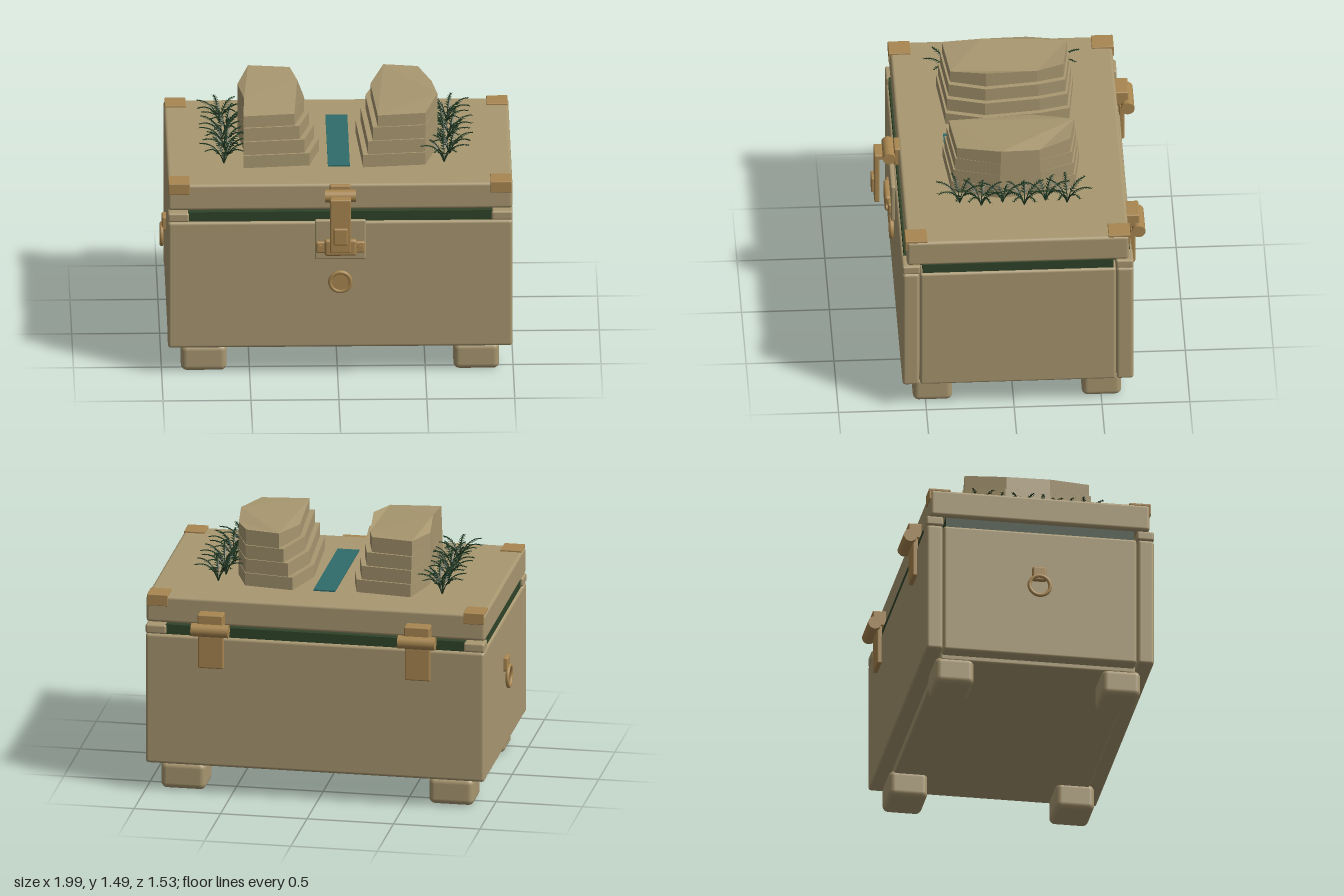
import * as THREE from 'three';
import { mergeGeometries } from 'three/addons/utils/BufferGeometryUtils.js';
import { RoundedBoxGeometry } from 'three/addons/geometries/RoundedBoxGeometry.js';

const CX = 0.015; // middle of the chest in x

export function createModel() {
  const model = new THREE.Group();
  model.name = 'chest';
  const mat = (name, color, side = THREE.FrontSide) => {
    const m = new THREE.MeshStandardMaterial({ color, side });
    m.name = name;
    return m;
  };
  const tan = mat('tan', 0xa89770);
  const brass = mat('brass', 0xa88650);
  const green = mat('sealGreen', 0x2f4429);
  const teal = mat('waterTeal', 0x2f6c6c);
  const leaf = mat('fernGreen', 0x1f3822, THREE.DoubleSide);

  const add = (name, geometry, material, parent = model) => {
    const mesh = new THREE.Mesh(geometry, material);
    mesh.name = name;
    parent.add(mesh);
    return mesh;
  };
  // box given by its extents, with optional rounded edges
  const box = (name, material, [x0, x1], [y0, y1], [z0, z1], r = 0, parent = model) => {
    const s = [x1 - x0, y1 - y0, z1 - z0];
    const g = r ? new RoundedBoxGeometry(...s, 3, r) : new THREE.BoxGeometry(...s);
    g.translate((x0 + x1) / 2, (y0 + y1) / 2, (z0 + z1) / 2);
    return add(name, g, material, parent);
  };
  // cylinder lying along x or z
  const rod = (name, material, axis, r, length, x, y, z, parent = model) => {
    const g = new THREE.CylinderGeometry(r, r, length, 28);
    if (axis === 'x') g.rotateZ(Math.PI / 2);
    else g.rotateX(Math.PI / 2);
    g.translate(x, y, z);
    return add(name, g, material, parent);
  };

  // body
  const wide = [-0.965, 0.995], wall = [0.17, 0.945];
  box('frontPanel', tan, wide, wall, [0.54, 0.635], 0.018);
  box('backPanel', tan, wide, wall, [-0.68, -0.583], 0.018);
  box('rightPanel', tan, [-0.963, -0.86], wall, [-0.58, 0.535], 0.016);
  box('leftPanel', tan, [0.89, 0.993], wall, [-0.58, 0.535], 0.016);
  box('basePlate', tan, [-0.885, 0.915], [0.14, 0.19], [-0.585, 0.54], 0.012);
  for (const x of [[-0.89, -0.63], [0.66, 0.92]])
    for (const z of [[0.347, 0.572], [-0.615, -0.39]])
      box('foot', tan, x, [0, 0.16], z, 0.035);

  // seal and the blocks at its corners
  box('sealLong', green, [-0.85, 0.88], [0.93, 1.002], [-0.665, 0.62]);
  box('sealWide', green, [-0.95, 0.98], [0.93, 1.0], [-0.565, 0.52]);
  for (const x of [[-0.965, -0.845], [0.875, 0.995]])
    for (const z of [[0.535, 0.635], [-0.68, -0.58]])
      box('cornerBlock', tan, x, [0.945, 1.0], z, 0.012);

  // lid with folded corner plates
  box('lid', tan, wide, [1.007, 1.165], [-0.655, 0.61], 0.018);
  for (const x of [[-0.96, -0.84], [0.87, 0.99]])
    for (const s of [1, -1]) {
      const zEdge = s > 0 ? 0.618 : -0.663;
      const span = (d) => [Math.min(zEdge, zEdge - s * d), Math.max(zEdge, zEdge - s * d)];
      box('cornerPlateTop', brass, x, [1.16, 1.175], span(0.125), 0.004);
      box('cornerPlateFlap', brass, x, [1.108, 1.175], span(0.013), 0.004);
    }

  // latch
  const latch = new THREE.Group();
  latch.name = 'latch';
  model.add(latch);
  box('latchPlate', tan, [-0.13, 0.16], [0.72, 0.962], [0.63, 0.658], 0.01, latch);
  box('latchMount', brass, [-0.045, 0.075], [1.05, 1.165], [0.6, 0.635], 0.008, latch);
  rod('latchBarrel', brass, 'x', 0.036, 0.175, CX, 1.115, 0.665, latch);
  box('latchArm', brass, [-0.045, 0.075], [1.092, 1.122], [0.67, 0.748], 0.008, latch);
  box('latchStrap', brass, [-0.045, 0.075], [0.795, 1.115], [0.718, 0.748], 0.008, latch);
  box('latchTab', brass, [-0.025, 0.055], [0.85, 0.95], [0.74, 0.765], 0.008, latch);
  box('catchBlock', brass, [-0.075, 0.107], [0.752, 0.852], [0.655, 0.69], 0.015, latch);
  box('catchBar', brass, [-0.125, 0.155], [0.765, 0.835], [0.65, 0.675], 0.012, latch);
  for (const x of [-0.1, 0.13])
    rod('catchScrew', brass, 'z', 0.017, 0.02, x, 0.8, 0.674, latch);

  // round front boss
  rod('bossDisc', brass, 'z', 0.058, 0.026, CX, 0.58, 0.643);
  add('bossRim', new THREE.TorusGeometry(0.058, 0.012, 10, 36).translate(CX, 0.58, 0.65), brass);

  // hanging ring on the right side
  box('ringMount', brass, [-0.988, -0.955], [0.635, 0.72], [-0.07, 0.01], 0.01);
  const ring = add('ring', new THREE.TorusGeometry(0.06, 0.011, 10, 36), brass);
  ring.rotation.y = Math.PI / 2;
  ring.position.set(-0.989, 0.6, -0.03);

  // back hinges
  for (const x of [-0.5825, 0.6125]) {
    const leafX = [x - 0.073, x + 0.073];
    box('hingeUpperLeaf', brass, leafX, [1.0, 1.092], [-0.73, -0.645], 0.008);
    box('hingeLowerLeaf', brass, leafX, [0.765, 1.0], [-0.706, -0.675], 0.008);
    rod('hingeBarrel', brass, 'x', 0.038, 0.215, x, 1.0, -0.724);
  }

  // water strip between the cliffs
  box('water', teal, [-0.05, 0.075], [1.16, 1.173], [-0.4, 0.35]);

  // stepped cliffs: the inner side and the ends draw in with each layer
  const levels = [1.16, 1.24, 1.32, 1.4, 1.48];
  const cliff = (name, inner, outer, dir) => {
    const group = new THREE.Group();
    group.name = name;
    model.add(group);
    for (let i = 0; i < 4; i++) {
      const k = 1 - 0.028 * i;
      const pts = [
        ...inner.map(([x, z]) => [x + dir * 0.028 * i, z]),
        ...outer,
      ].map(([x, z]) => new THREE.Vector2(x, -(-0.025 + (z + 0.025) * k)));
      const g = new THREE.ExtrudeGeometry(new THREE.Shape(pts), {
        depth: levels[i + 1] - levels[i], bevelEnabled: false,
      });
      g.rotateX(-Math.PI / 2).translate(0, levels[i], 0);
      if (i === 3) { // uneven crown
        const p = g.attributes.position;
        for (let j = 0; j < p.count; j++)
          if (p.getY(j) > 1.45) p.setY(j, 1.48 + 0.01 * Math.cos(14 * (p.getZ(j) - 0.1)));
        g.computeVertexNormals();
      }
      add('cliffLayer', g, tan, group);
    }
  };
  cliff('rightCliff',
    [[-0.17, -0.375], [-0.13, -0.21], [-0.097, 0.11], [-0.155, 0.33]],
    [[-0.53, 0.365], [-0.522, 0.12], [-0.555, -0.16], [-0.49, -0.412]], -1);
  cliff('leftCliff',
    [[0.195, -0.412], [0.117, -0.15], [0.15, 0.365]],
    [[0.505, 0.33], [0.578, 0.06], [0.55, -0.18], [0.475, -0.375]], 1);

  // fern frond: an arching stem with paired leaflets
  const curve = new THREE.QuadraticBezierCurve3(
    new THREE.Vector3(0, 0, 0), new THREE.Vector3(0.04, 0.13, 0), new THREE.Vector3(0.14, 0.112, 0));
  const stem = new THREE.TubeGeometry(curve, 10, 0.003, 4).toNonIndexed();
  stem.deleteAttribute('uv');
  const tris = [];
  for (let i = 0; i < 9; i++) {
    const t = 0.3 + 0.08 * i;
    const a = curve.getPoint(t - 0.025), b = curve.getPoint(Math.min(1, t + 0.04));
    const len = 0.024 * (1 - 0.55 * i / 8);
    for (const s of [1, -1])
      tris.push(a.x, a.y, 0, b.x, b.y, 0, b.x + 0.012, b.y, s * len);
  }
  const leaflets = new THREE.BufferGeometry();
  leaflets.setAttribute('position', new THREE.Float32BufferAttribute(tris, 3));
  leaflets.computeVertexNormals();
  const frond = mergeGeometries([stem, leaflets]);
  const FRONDS = 7;
  const fern = mergeGeometries(Array.from({ length: FRONDS }, (_, i) =>
    frond.clone().rotateY(i * 2 * Math.PI / FRONDS)));

  // a row of ferns along each cliff
  const rows = {
    rightFern: [-0.655, -0.62, -0.645, -0.635, -0.62, -0.64],
    leftFern: [0.64, 0.617, 0.65, 0.62, 0.645, 0.612],
  };
  for (const [name, xs] of Object.entries(rows))
    xs.forEach((x, i) => {
      const plant = add(name, fern, leaf);
      plant.position.set(x, 1.163, -0.32 + 0.122 * i);
      plant.rotation.y = i * 1.3 + (x > 0 ? 0.5 : 0);
    });

  return model;
}
